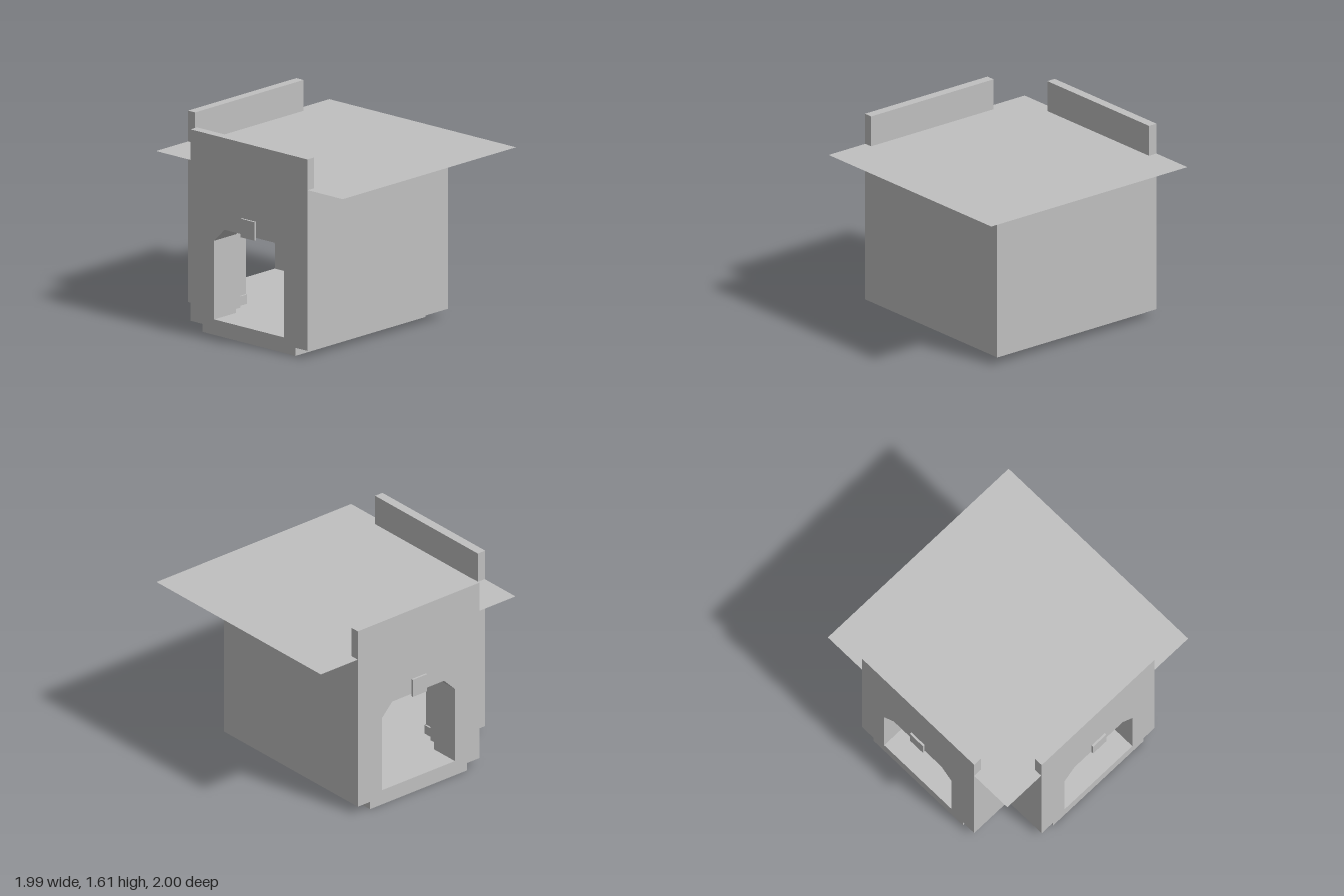
import * as THREE from 'three';

const stone = new THREE.MeshStandardMaterial({ color: 0xc0c0c0 });
stone.name = 'plain grey';
const thinStone = new THREE.MeshStandardMaterial({ color: 0xc0c0c0, side: THREE.DoubleSide });
thinStone.name = 'plain grey sheet';

function add(parent, name, geometry, material = stone) {
  const mesh = new THREE.Mesh(geometry, material);
  mesh.name = name;
  parent.add(mesh);
  return mesh;
}

// Box given by its two extreme corners
function box(parent, name, x0, x1, y0, y1, z0, z1) {
  const g = new THREE.BoxGeometry(x1 - x0, y1 - y0, z1 - z0);
  g.translate((x0 + x1) / 2, (y0 + y1) / 2, (z0 + z1) / 2);
  return add(parent, name, g);
}

// Flat slab from an outline of [x, z] points
function slab(parent, name, points, y0, y1) {
  const shape = new THREE.Shape(points.map(([x, z]) => new THREE.Vector2(x, -z)));
  const g = new THREE.ExtrudeGeometry(shape, { depth: y1 - y0, bevelEnabled: false });
  g.rotateX(-Math.PI / 2);
  g.translate(0, y0, 0);
  return add(parent, name, g);
}

// L-shaped plan with a notch at the front right corner
const plan = (out, back, notch) => [
  [-0.98, notch], [-notch, notch], [-notch, 0.98], [out, 0.98], [out, back], [-0.98, back],
];

// One entrance side with all its trim; s = -1 flips it left to right
function entrance(name, s) {
  const side = new THREE.Group();
  side.name = name;
  const part = (label, a, b, ...rest) =>
    box(side, label, Math.min(s * a, s * b), Math.max(s * a, s * b), ...rest);

  // Thick wall with a chamfered doorway
  const outline = [
    [-0.61, 0.125], [-0.36, 0.125], [-0.36, 0.76], [-0.25, 0.87], [0.275, 0.87],
    [0.38, 0.76], [0.38, 0.125], [0.625, 0.125], [0.625, 1.36], [-0.61, 1.36],
  ];
  const shape = new THREE.Shape(outline.map(([x, y]) => new THREE.Vector2(s * x, y)));
  const g = new THREE.ExtrudeGeometry(shape, { depth: 0.25, bevelEnabled: false });
  g.translate(0, 0, 0.73);
  add(side, 'doorWall', g);

  part('parapet', -0.61, 0.625, 1.36, 1.61, 0.905, 0.98);
  part('keystone', -0.065, 0.08, 0.85, 1.0, 0.98, 0.997);
  part('innerKeystone', -0.08, 0.1, 0.85, 1.0, 0.715, 0.73);

  // Notch wall with its pilaster and skirting
  part('notchWall', -0.61, -0.485, 0.125, 1.36, 0.485, 0.73);
  part('notchPilaster', -0.485, -0.435, 0.125, 1.36, 0.6, 0.73);
  part('notchSkirting', -0.485, -0.47, 0.125, 0.2, 0.485, 0.6);

  // Far wall opposite the doorway
  part('farWall', -0.73, 0.5, 0.125, 1.36, -0.625, -0.5);
  part('farSkirting', -0.73, 0.5, 0.125, 0.2, -0.5, -0.485);
  part('farPilaster', -0.25, -0.105, 0.125, 1.36, -0.5, -0.45);
  part('farLowerRail', -0.345, -0.095, 0.23, 0.31, -0.5, -0.47);
  part('farSwitch', -0.43, -0.345, 0.435, 0.52, -0.5, -0.49);
  part('farPlate', 0.02, 0.25, 0.645, 0.72, -0.5, -0.49);
  part('floorVent', 0.14, 0.28, 0.125, 0.145, -0.48, -0.44);
  return side;
}

export function createModel() {
  const model = new THREE.Group();
  model.name = 'cornerBuilding';

  // Footing and floor
  slab(model, 'footing', plan(0.5, -0.5, 0.485), 0, 0.065);
  slab(model, 'floor', plan(0.625, -0.625, 0.61), 0.065, 0.125);

  // Two matching entrance sides, mirrored across the diagonal
  model.add(entrance('frontSide', 1));
  const second = entrance('rightSide', -1);
  second.rotation.y = -Math.PI / 2;
  model.add(second);

  // Outer wall corners closing the far walls
  box(model, 'backCorner', 0.5, 0.625, 0.125, 1.36, -0.625, -0.5);

  // Thin flat roof sheet
  const roof = new THREE.PlaneGeometry(1.975, 1.975);
  roof.rotateX(-Math.PI / 2);
  roof.translate(0.0075, 1.361, -0.0125);
  add(model, 'roof', roof, thinStone);
  return model;
}
